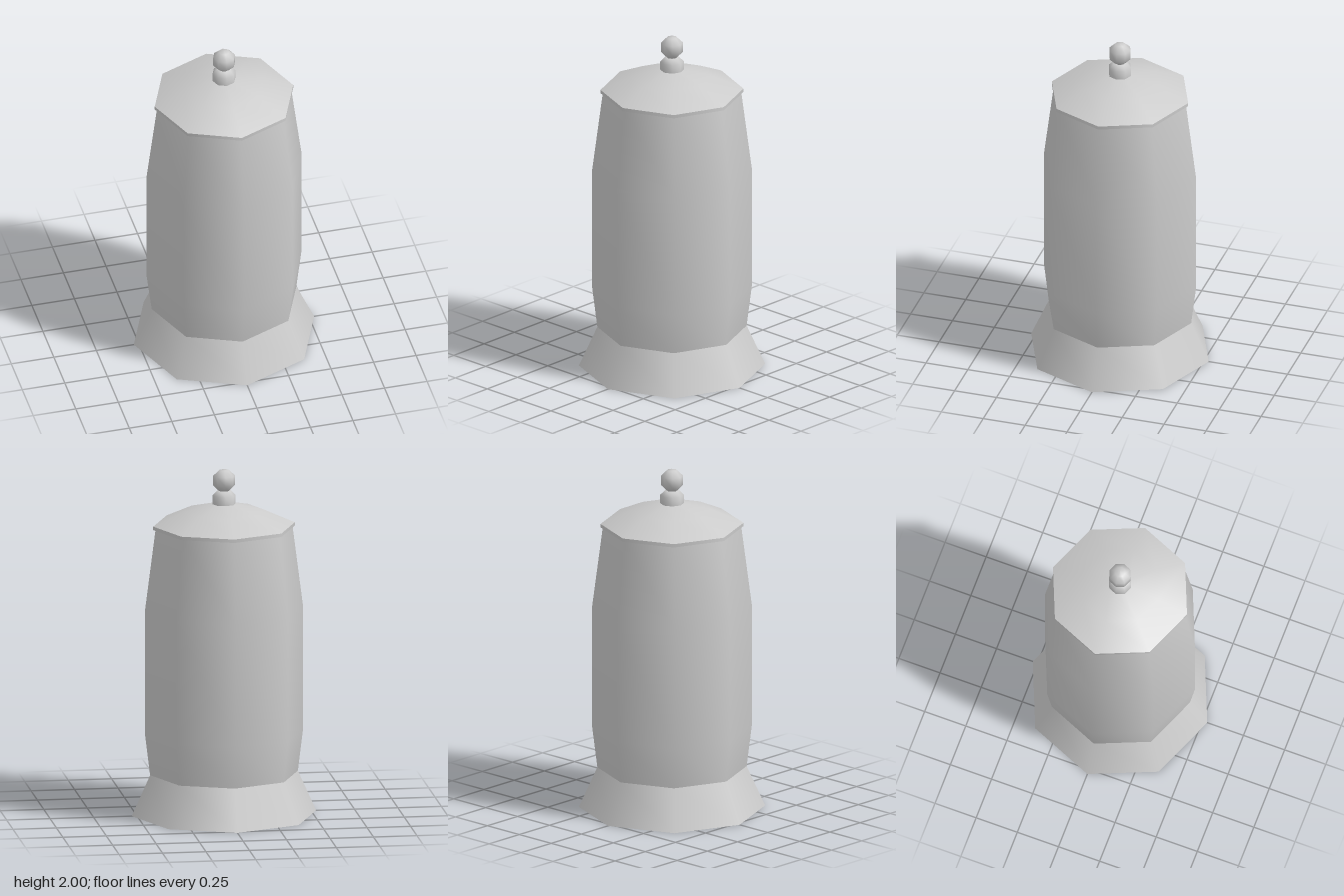
import * as THREE from 'three';

const SIDES = 8;

export function createModel() {
  const model = new THREE.Group();
  const material = new THREE.MeshStandardMaterial({ color: 0xcccccc });

  // Each run of [radius, y] points is one smooth surface; runs meet at hard edges.
  function turned(name, ...runs) {
    const part = new THREE.Group();
    part.name = name;
    runs.forEach((run, i) => {
      const points = run.map(([r, y]) => new THREE.Vector2(r, y));
      const mesh = new THREE.Mesh(new THREE.LatheGeometry(points, SIDES), material);
      mesh.name = `${name}Surface${i + 1}`;
      part.add(mesh);
    });
    model.add(part);
  }

  // Flared foot with a closed underside
  turned('base',
    [[0, 0], [0.53, 0]],
    [[0.53, 0], [0.425, 0.235]]);

  // Slightly bulging body
  turned('body',
    [[0.425, 0.235], [0.455, 0.48], [0.455, 1.19], [0.393, 1.67]]);

  // Domed lid: underside, thin rim, dome
  turned('lid',
    [[0, 1.662], [0.407, 1.662]],
    [[0.407, 1.662], [0.407, 1.682]],
    [[0.407, 1.682], [0.23, 1.762], [0.065, 1.803], [0, 1.803]]);

  // Collar under the knob
  turned('knobCollar',
    [[0.067, 1.8], [0.067, 1.853], [0.04, 1.88], [0, 1.88]]);

  // Faceted ball on top
  turned('knob',
    [[0, 1.876], [0.03, 1.878], [0.064, 1.912], [0.064, 1.966], [0.03, 1.998], [0, 2]]);

  return model;
}
